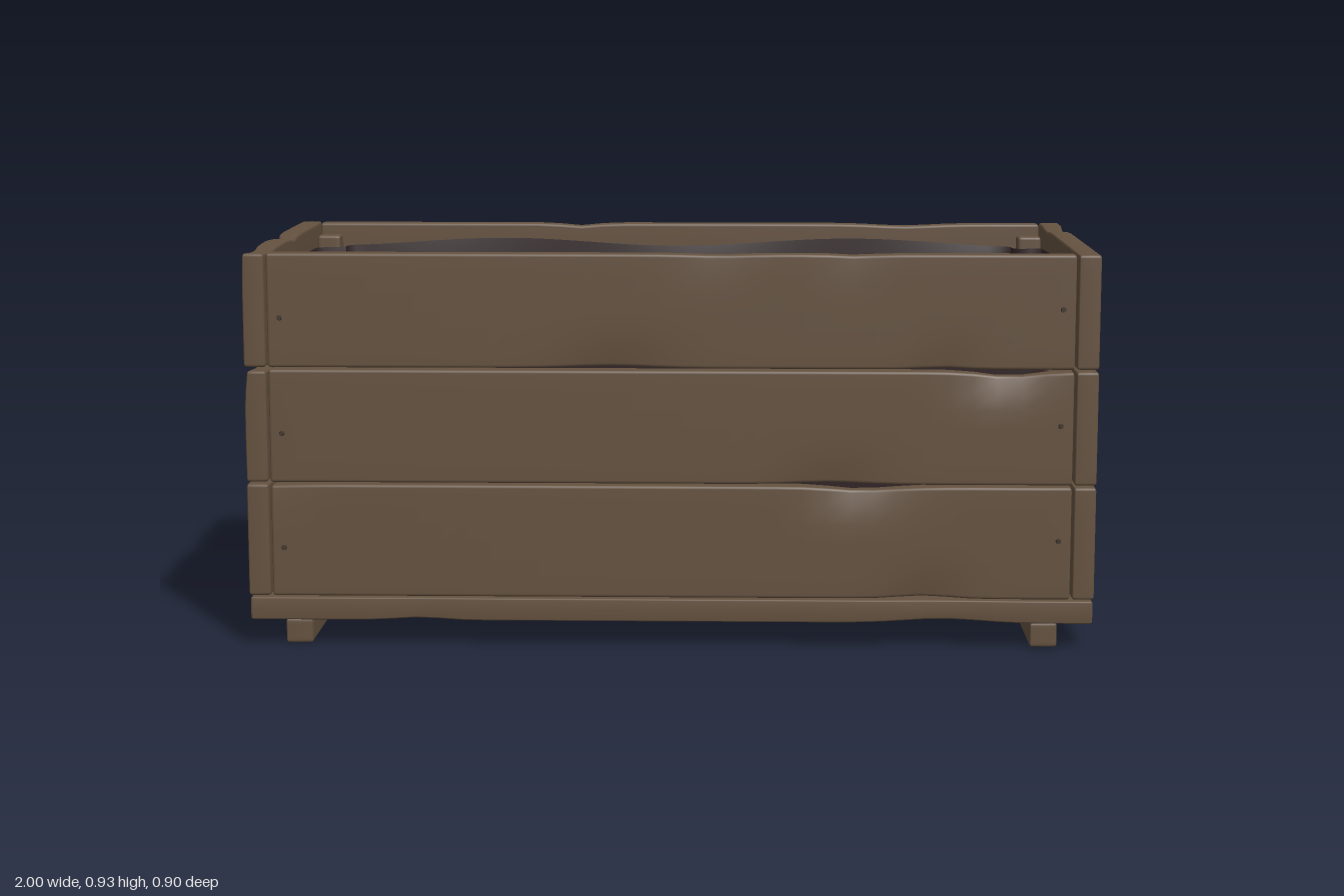
import * as THREE from 'three';
import { mergeVertices, toCreasedNormals } from 'three/addons/utils/BufferGeometryUtils.js';

const wood = new THREE.MeshStandardMaterial({ color: 0x655240 });
wood.name = 'weatheredWood';
const lining = new THREE.MeshStandardMaterial({ color: 0x312426, side: THREE.DoubleSide });
lining.name = 'darkLining';
const metal = new THREE.MeshStandardMaterial({ color: 0x43372c });
metal.name = 'screwMetal';

let seed = 7;
const rand = () => (seed = (seed * 16807) % 2147483647) / 2147483647;

// Round-edged plank: length on x, height on y, worn face towards +z.
function plankGeometry(length, height, depth, dents = [], radius = 0.008) {
  const half = [length / 2, height / 2, depth / 2];
  const segs = [Math.max(8, Math.round(length / 0.05)), 10, 4];
  const geo = new THREE.BoxGeometry(1, 1, 1, ...segs);
  const pos = geo.attributes.position;
  const p = new THREE.Vector3(), inner = new THREE.Vector3();
  const spread = (v, axis) => { // crowd two grid lines into each rounded edge
    const n = segs[axis], h = half[axis], k = Math.round((v + 0.5) * n);
    const e = Math.min(k, n - k), sign = k * 2 < n ? -1 : 1;
    if (e < 2) return sign * (h - radius * [0, 0.45][e]);
    return n === 4 ? (k === 2 ? 0 : sign * h) : (h - radius) * (2 * (k - 2) / (n - 4) - 1);
  };
  for (let i = 0; i < pos.count; i++) {
    p.set(spread(pos.getX(i), 0), spread(pos.getY(i), 1), spread(pos.getZ(i), 2));
    inner.set(...half.map((h, a) => THREE.MathUtils.clamp(p.getComponent(a), radius - h, h - radius)));
    p.sub(inner).setLength(radius).add(inner);
    // Worn hollows along the upper and lower edges
    for (const [x0, side, width, deep] of dents) {
      const g = deep * Math.exp(-(((p.x - x0) / width) ** 2) - ((half[1] - side * p.y) / 0.05) ** 2);
      p.y -= side * g * 0.6;
      if (p.z > 0) p.z -= g;
    }
    pos.setXYZ(i, p.x, p.y, p.z);
  }
  geo.deleteAttribute('normal');
  geo.deleteAttribute('uv');
  const merged = mergeVertices(geo, 1e-5);
  merged.computeVertexNormals();
  return merged;
}

function randomDents(length, count) {
  return Array.from({ length: count }, () => [
    (rand() - 0.5) * length, rand() < 0.5 ? -1 : 1, 0.05 + rand() * 0.08, 0.004 + rand() * 0.008,
  ]);
}

function add(parent, name, geo, mat, x = 0, y = 0, z = 0) {
  const mesh = new THREE.Mesh(geo, mat);
  mesh.name = name;
  mesh.position.set(x, y, z);
  parent.add(mesh);
  return mesh;
}

// One wall of three stacked planks with a screw at each end
function wall(name, length, depth, screwX, chip) {
  const group = new THREE.Group();
  group.name = name;
  const screwGeo = new THREE.CylinderGeometry(0.005, 0.007, 0.012, 10).rotateX(Math.PI / 2);
  for (let row = 0; row < 3; row++) {
    const y = 0.2525 + row * 0.271;
    const dents = randomDents(length, Math.round(2 + length));
    if (chip && row === 2) dents.push([0, 1, 0.05, 0.014]);
    add(group, 'plank', plankGeometry(length, 0.267, depth, dents), wood, 0, y, -depth / 2);
    for (const s of [-1, 1]) {
      add(group, 'screw', screwGeo, metal, s * screwX, y - 0.005 + s * 0.012, 0.003);
    }
  }
  return group;
}

// Lining: a notched outline lofted from the rim down to the floor
function liningGeometry() {
  const quarter = [[0.935, 0.16], [0.935, 0.315], [0.918, 0.325], [0.872, 0.325],
    [0.862, 0.335], [0.862, 0.375], [0.85, 0.388], [0.4, 0.388]];
  const flip = [...quarter].reverse();
  const outline = new THREE.Shape([
    ...quarter, ...flip.map(([x, z]) => [-x, z]),
    ...quarter.map(([x, z]) => [-x, -z]), ...flip.map(([x, z]) => [x, -z]),
  ].map(([x, z]) => new THREE.Vector2(x, z)));
  outline.autoClose = true;
  const n = 160;
  const pts = outline.getSpacedPoints(n).slice(0, n);
  const rings = [[0.88, 1, 1], [0.8, 0.995, 0.985], [0.6, 0.99, 0.97], [0.35, 0.985, 0.95],
    [0.18, 0.98, 0.92], [0.14, 0.965, 0.89], [0.128, 0.93, 0.84], [0.126, 0, 0]];
  const verts = [], index = [];
  rings.forEach(([y, sx, sz], r) => pts.forEach(({ x, y: z }, i) => {
    const wave = r === 0 ? 0.01 * Math.sin(x * 7 + z * 4) : 0;
    const pull = r > 0 && r < 5 ? 1 - 0.012 * (1 + Math.sin(x * 9 + r)) : 1;
    verts.push(x * sx, y + wave, z * sz * pull);
    if (r < rings.length - 1) {
      const a = r * n + i, b = r * n + (i + 1) % n;
      index.push(a, b, a + n, b, b + n, a + n);
    }
  }));
  const geo = new THREE.BufferGeometry();
  geo.setAttribute('position', new THREE.Float32BufferAttribute(verts, 3));
  geo.setIndex(index);
  return toCreasedNormals(geo, 0.9);
}

export function createModel() {
  const model = new THREE.Group();
  model.name = 'planterBox';

  // Long walls sit between the end walls
  for (const s of [1, -1]) {
    const side = wall(s > 0 ? 'frontWall' : 'backWall', 1.87, 0.052, 0.905, false);
    side.position.z = s * 0.443;
    side.rotation.y = s > 0 ? 0 : Math.PI;
    model.add(side);

    const end = wall(s > 0 ? 'leftEndWall' : 'rightEndWall', 0.888, 0.052, 0.36, s < 0);
    end.position.x = s * 0.991;
    end.rotation.y = s * Math.PI / 2;
    model.add(end);
  }

  // Three base boards with narrow gaps
  for (const z of [-0.294, 0.002, 0.297]) {
    const board = add(model, 'baseBoard',
      plankGeometry(1.98, 0.284, 0.055, randomDents(1.98, 3)), wood, 0, 0.0875, z);
    board.rotation.x = Math.PI / 2;
  }

  // Foot rails and corner posts
  for (const sx of [-1, 1]) {
    const foot = add(model, 'footRail', plankGeometry(0.842, 0.06, 0.064), wood, sx * 0.877, 0.03, 0);
    foot.rotation.y = Math.PI / 2;
    for (const sz of [-1, 1]) {
      const post = add(model, 'cornerPost', plankGeometry(0.78, 0.06, 0.06), wood, sx * 0.905, 0.51, sz * 0.36);
      post.rotation.z = Math.PI / 2;
    }
  }

  add(model, 'lining', liningGeometry(), lining);
  return model;
}
